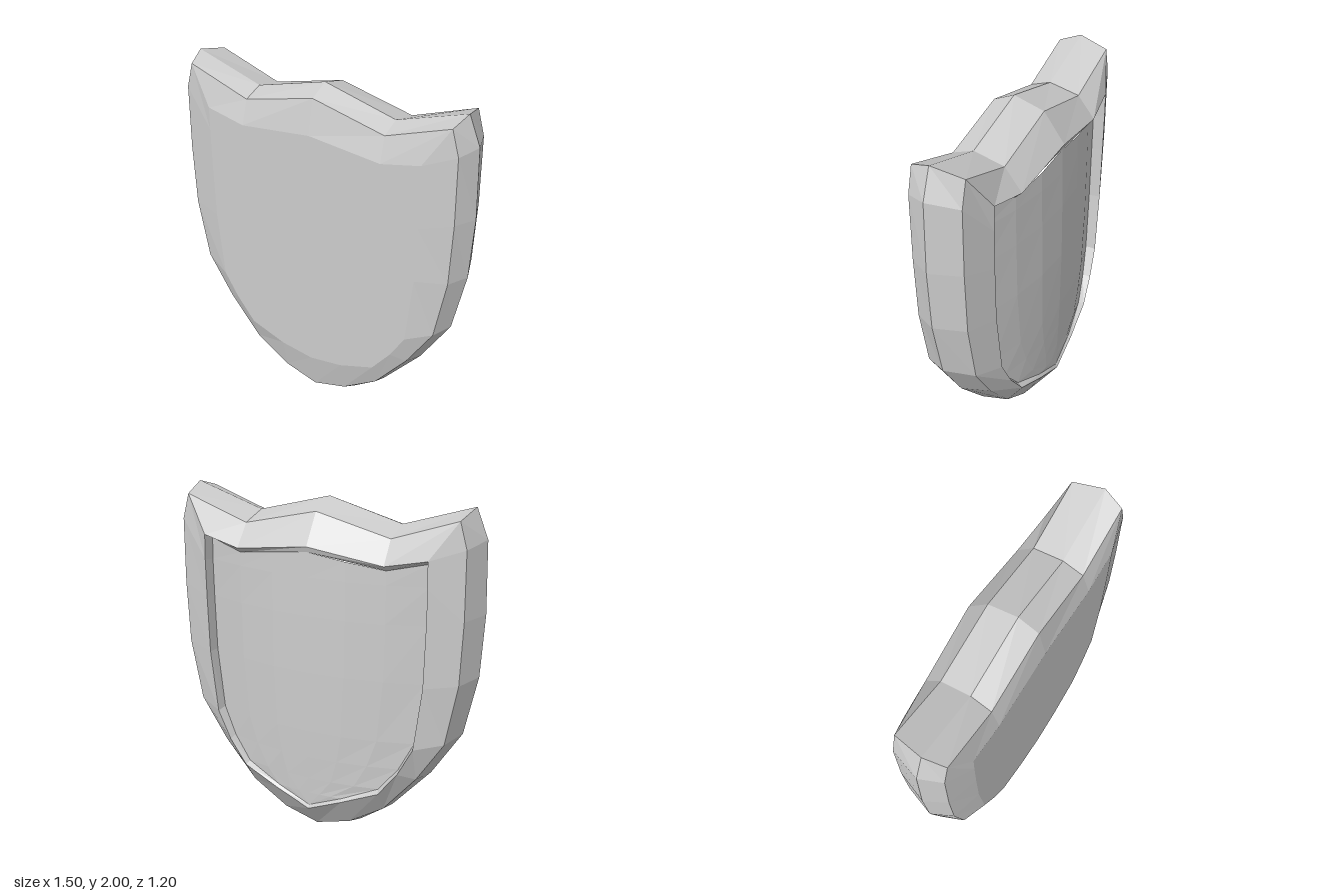
import * as THREE from 'three';

const material = new THREE.MeshStandardMaterial({ color: 0xcccccc, flatShading: true });

// Half outlines [x, y], from the top centre round the right side to the bottom tip
const OUTER = [[0, 1.985], [0.415, 1.875], [0.805, 2], [0.87, 1.84], [0.885, 1.45], [0.87, 1.1],
  [0.8, 0.755], [0.63, 0.48], [0.405, 0.22], [0.205, 0.07], [0, 0]];
const SHOULDER = [[0, 1.935], [0.417, 1.835], [0.775, 1.96], [0.815, 1.82], [0.822, 1.45], [0.812, 1.1],
  [0.75, 0.75], [0.6, 0.51], [0.412, 0.28], [0.205, 0.145], [0, 0.085]];
const FLAT = [[0, 1.745], [0.42, 1.7], [0.643, 1.75], [0.645, 1.62], [0.645, 1.4], [0.64, 1.08],
  [0.604, 0.69], [0.52, 0.55], [0.41, 0.41], [0.2, 0.335], [0, 0.305]];
const RIM = [[0, 1.775], [0.42, 1.715], [0.64, 1.76], [0.645, 1.62], [0.645, 1.4], [0.64, 1.08],
  [0.6, 0.72], [0.52, 0.56], [0.415, 0.42], [0.2, 0.325], [0, 0.24]];
const PANEL = [[0, 1.745], [0.42, 1.685], [0.63, 1.73], [0.635, 1.61], [0.635, 1.4], [0.63, 1.08],
  [0.588, 0.73], [0.51, 0.57], [0.405, 0.435], [0.195, 0.34], [0, 0.26]];

const rimDepth = (x) => -0.26 + 0.05 * (x / 0.64) ** 2;
const panelDepth = (x) => -0.25 + 0.103 * (x / 0.63) ** 2;

// Mirrors a half outline into a closed ring at a depth given by a rule
function ring(half, depth) {
  const left = half.slice(1, -1).reverse().map(([x, y]) => [-x, y]);
  return [...half, ...left].map(([x, y]) => [x, y, depth(x)]);
}

// Joins neighbouring rows of points with quads
function skin(rows, closed) {
  const out = [];
  for (let i = 0; i + 1 < rows.length; i++) {
    const n = rows[i].length;
    for (let j = 0; j < (closed ? n : n - 1); j++) {
      const k = (j + 1) % n;
      const a = rows[i][j], b = rows[i][k], c = rows[i + 1][k], d = rows[i + 1][j];
      out.push(a, b, c, a, c, d);
    }
  }
  return out;
}

function part(name, corners) {
  const geometry = new THREE.BufferGeometry();
  geometry.setAttribute('position', new THREE.Float32BufferAttribute(corners.flat(), 3));
  geometry.computeVertexNormals();
  const mesh = new THREE.Mesh(geometry, material);
  mesh.name = name;
  return mesh;
}

export function createModel() {
  const shield = new THREE.Group();
  shield.name = 'shield';

  // Bevelled frame, running from the flat face over the edge and into the recess
  const flat = ring(FLAT, () => 0.185);
  shield.add(part('frame', skin([
    flat,
    ring(SHOULDER, () => 0.143),
    ring(OUTER, () => 0.027),
    ring(SHOULDER, () => -0.143),
    ring(RIM, rimDepth),
    ring(PANEL, panelDepth),
  ], true)));

  // Flat plate closing the other face
  const centre = [0, 1, 0.185];
  shield.add(part('flatPlate', flat.flatMap((p, i) => [centre, flat[(i + 1) % flat.length], p])));

  // Domed panel inside the recess: rows across, each as wide as the outline there
  const columns = [-1, -2 / 3, -1 / 3, 0, 1 / 3, 2 / 3, 1];
  const rows = PANEL.slice(2).map(([half, y], i) => columns.map((t) => {
    const x = t * half;
    const topY = [1.745, 1.715, 1.685, 1.73][Math.round(Math.abs(t) * 3)];
    const bulge = i === 0 ? 0 : 0.015 * (1 - t * t) * Math.sin(Math.PI * (y - 0.26) / 1.48);
    return [x, i === 0 ? topY : y, panelDepth(x) - bulge];
  }));
  shield.add(part('domedPanel', skin(rows, false)));

  // The shield stands turned about the vertical
  shield.rotation.y = -Math.PI / 5;
  const model = new THREE.Group();
  model.name = 'shieldModel';
  model.add(shield);
  return model;
}
